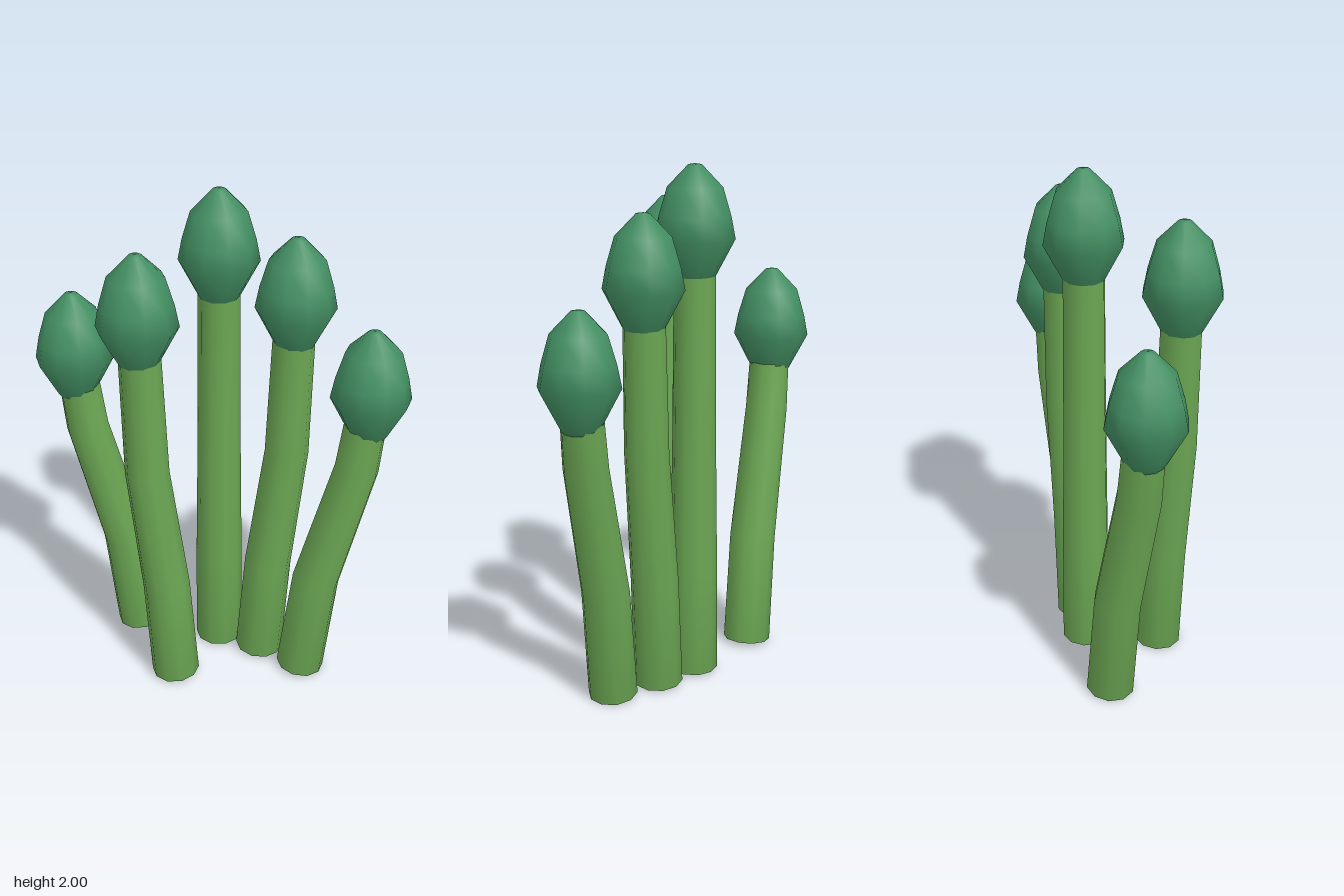
import * as THREE from 'three';

const SIDES = 10;

// Bent stalk: rings set square to the spine, with a closed bottom
function stalkGeometry(spine) {
  const pos = [], idx = [];
  spine.forEach(([x, y, r], i) => {
    const a = spine[Math.max(i - 1, 0)], b = spine[Math.min(i + 1, spine.length - 1)];
    const tilt = Math.atan2(b[0] - a[0], b[1] - a[1]);
    for (let j = 0; j < SIDES; j++) {
      const t = (j / SIDES) * Math.PI * 2;
      const u = Math.cos(t) * r;
      pos.push(x + u * Math.cos(tilt), y - u * Math.sin(tilt), Math.sin(t) * r);
    }
  });
  for (let i = 0; i < spine.length - 1; i++) {
    for (let j = 0; j < SIDES; j++) {
      const k = (j + 1) % SIDES;
      const a = i * SIDES + j, b = i * SIDES + k;
      idx.push(a, a + SIDES, b, b, a + SIDES, b + SIDES);
    }
  }
  // Bottom cap
  const centre = pos.length / 3;
  pos.push(spine[0][0], spine[0][1], 0);
  for (let j = 0; j < SIDES; j++) idx.push(centre, j, (j + 1) % SIDES);

  const g = new THREE.BufferGeometry();
  g.setAttribute('position', new THREE.Float32BufferAttribute(pos, 3));
  g.setIndex(idx);
  g.computeVertexNormals();
  return g;
}

// Pointed bud, measured down from its tip
function budGeometry() {
  const profile = [[0, -0.46], [0.05, -0.45], [0.078, -0.41], [0.15, -0.272],
    [0.134, -0.19], [0.103, -0.085], [0.025, -0.004], [0, 0]]
    .map(([r, y]) => new THREE.Vector2(r, y));
  return new THREE.LatheGeometry(profile, SIDES, Math.PI / 2);
}

export function createModel() {
  const group = new THREE.Group();
  const stalkGreen = new THREE.MeshStandardMaterial({ color: 0x6ba653 });
  stalkGreen.name = 'stalkGreen';
  const budGreen = new THREE.MeshStandardMaterial({ color: 0x438f63 });
  budGreen.name = 'budGreen';
  const bud = budGeometry();

  // Spine x at the four rings, tip height and depth of each spear
  const spears = [
    { xs: [-0.34, -0.39, -0.525, -0.56], tip: 1.545, z: -0.17 },
    { xs: [-0.17, -0.2, -0.262, -0.28], tip: 1.85, z: 0.165 },
    { xs: [0, 0, 0, 0], tip: 2, z: -0.075 },
    { xs: [0.17, 0.2, 0.262, 0.28], tip: 1.85, z: 0 },
    { xs: [0.34, 0.39, 0.525, 0.56], tip: 1.545, z: 0.112 },
  ];
  const radii = [0.095, 0.092, 0.084, 0.077];

  spears.forEach(({ xs, tip, z }, n) => {
    const spear = new THREE.Group();
    spear.name = `spear${n + 1}`;
    spear.position.z = z;
    const ys = [0.015, 0.45, 0.97, tip - 0.27];
    const stalk = new THREE.Mesh(stalkGeometry(xs.map((x, i) => [x, ys[i], radii[i]])), stalkGreen);
    stalk.name = 'stalk';
    const head = new THREE.Mesh(bud, budGreen);
    head.name = 'bud';
    head.position.set(xs[3], tip, 0);
    spear.add(stalk, head);
    group.add(spear);
  });
  return group;
}
